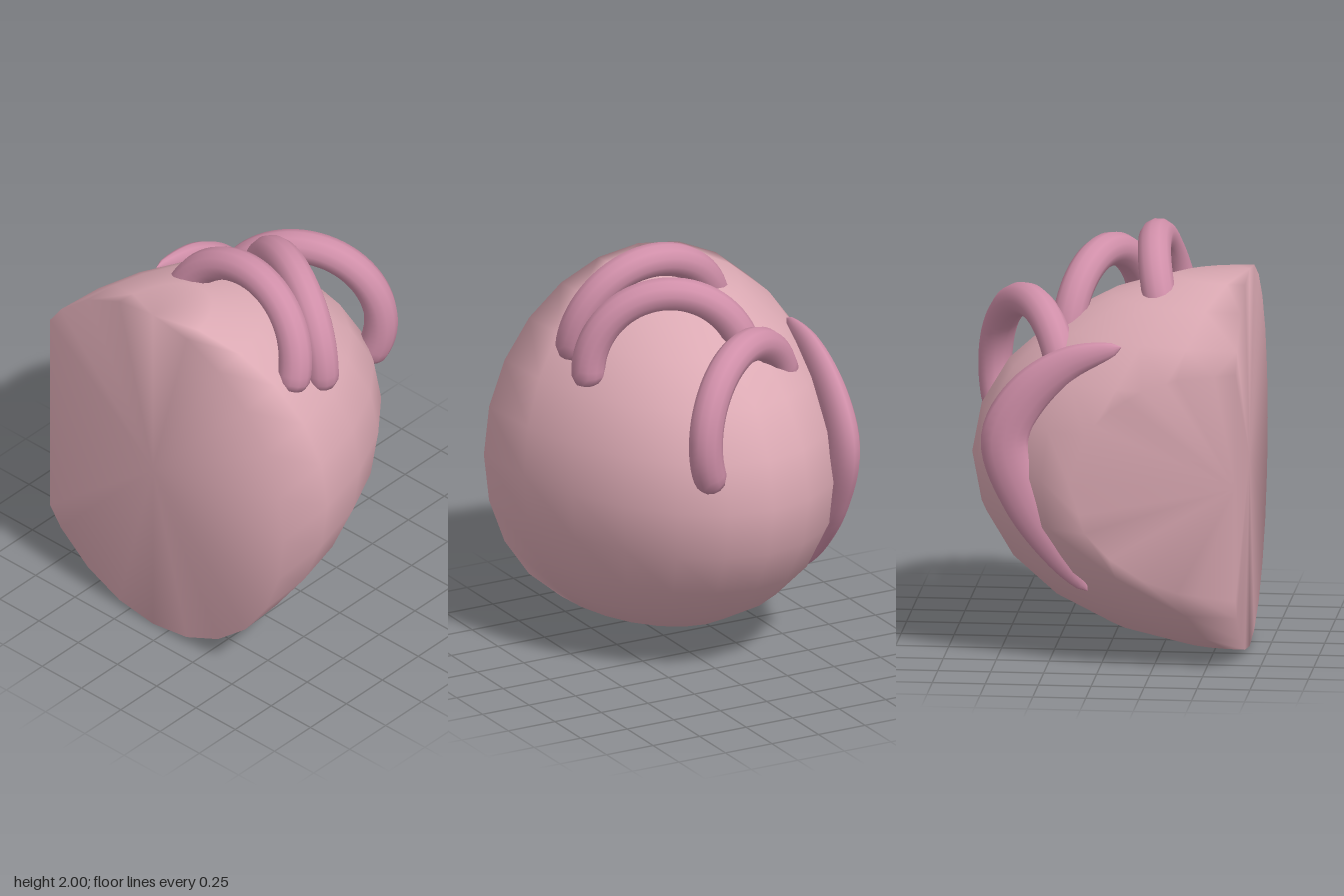
import * as THREE from 'three';
import { mergeVertices } from 'three/addons/utils/BufferGeometryUtils.js';

const lightPink = new THREE.MeshStandardMaterial({ color: 0xdcaab4 });
lightPink.name = 'lightPink';
const rosePink = new THREE.MeshStandardMaterial({ color: 0xd08fa9 });
rosePink.name = 'rosePink';

const V = (x, y, z) => new THREE.Vector3(x, y, z);

function smooth(geo) {
  geo.deleteAttribute('uv');
  geo.deleteAttribute('normal');
  const merged = mergeVertices(geo, 1e-4);
  merged.computeVertexNormals();
  return merged;
}

// Back half of an ellipsoid, sliced flat on one side and closed with flat caps
function bodyGeometry() {
  const cutX = -0.745, frontZ = 0.655;
  const half = new THREE.SphereGeometry(1, 12, 12, Math.PI, Math.PI).toNonIndexed();
  half.scale(0.83, 0.91, 1.31).translate(-0.09, 0.91, frontZ);
  const src = half.attributes.position;
  const frontCentre = V(-0.09, 0.91, frontZ), sideCentre = V(cutX, 0.91, frontZ);
  const out = [], corners = [];
  const tri = (a, b, c) => { for (const p of [a, b, c]) out.push(p.x, p.y, p.z); };
  const onFront = (p) => Math.abs(p.z - frontZ) < 1e-5;
  const onCut = (p) => Math.abs(p.x - cutX) < 1e-5;

  for (let i = 0; i < src.count; i += 3) {
    const pts = [0, 1, 2].map((k) => new THREE.Vector3().fromBufferAttribute(src, i + k));
    const poly = [];
    pts.forEach((a, k) => {
      const b = pts[(k + 1) % 3];
      if (a.x >= cutX) poly.push(a);
      if ((a.x >= cutX) !== (b.x >= cutX)) {
        // always interpolate from the kept side so shared edges agree
        const [p, q] = a.x >= cutX ? [a, b] : [b, a];
        const hit = p.clone().lerp(q, (cutX - p.x) / (q.x - p.x));
        hit.x = cutX;
        poly.push(hit);
        if (onFront(hit)) corners.push(hit);
      }
    });
    for (let k = 1; k + 1 < poly.length; k++) tri(poly[0], poly[k], poly[k + 1]);
    poly.forEach((a, k) => {
      const b = poly[(k + 1) % poly.length];
      if (a.distanceTo(b) < 1e-5) return;
      if (onFront(a) && onFront(b)) tri(b, a, frontCentre);
      else if (onCut(a) && onCut(b)) tri(b, a, sideCentre);
    });
  }
  // strip of the front cap beside the flat cut
  corners.sort((a, b) => b.y - a.y);
  tri(corners[0], corners[corners.length - 1], frontCentre);

  const geo = new THREE.BufferGeometry();
  geo.setAttribute('position', new THREE.Float32BufferAttribute(out, 3));
  return smooth(geo);
}

// Tube whose thickness follows taper(u, length), optionally flattened in x
function taperedTube(curve, radius, taper, flat = 1) {
  const segs = 40, sides = 12;
  const geo = new THREE.TubeGeometry(curve, segs, radius, sides);
  const pos = geo.attributes.position, length = curve.getLength(), v = V(0, 0, 0);
  for (let i = 0; i <= segs; i++) {
    const p = curve.getPointAt(i / segs), t = Math.max(taper(i / segs, length), 0.002);
    for (let j = 0; j <= sides; j++) {
      const n = i * (sides + 1) + j;
      v.fromBufferAttribute(pos, n).sub(p).multiplyScalar(t);
      v.x *= flat;
      v.add(p);
      pos.setXYZ(n, v.x, v.y, v.z);
    }
  }
  return smooth(geo);
}

// Half ring: centre, half-chord and rise vectors, with rounded ends
function loopGeometry(centre, chord, rise) {
  const r = 0.08, pts = [];
  for (let i = 0; i <= 16; i++) {
    const a = -0.21 + (Math.PI + 0.42) * (i / 16);
    pts.push(centre.clone().addScaledVector(chord, Math.cos(a)).addScaledVector(rise, Math.sin(a)));
  }
  const round = (u, len) => {
    const d = Math.min(1, Math.min(u, 1 - u) * len / r);
    return Math.sqrt(1 - (1 - d) ** 2);
  };
  return taperedTube(new THREE.CatmullRomCurve3(pts), r, round);
}

export function createModel() {
  const group = new THREE.Group();
  const add = (name, geo, mat) => {
    const mesh = new THREE.Mesh(geo, mat);
    mesh.name = name;
    group.add(mesh);
  };

  add('body', bodyGeometry(), lightPink);

  // three arched folds over the top
  add('frontFold', loopGeometry(V(0.09, 1.54, 0.285), V(0.38, 0, 0), V(0, 0.38, -0.09)), rosePink);
  add('middleFold', loopGeometry(V(0.14, 1.46, -0.045), V(0.345, 0, 0.15), V(0, 0.38, 0)), rosePink);
  add('backFold', loopGeometry(V(-0.09, 1.265, -0.385), V(0.29, -0.165, -0.175), V(0.141, 0.339, -0.085)), rosePink);

  // flattened crescent fold on the cut side
  const path = [[0.1, 1.54], [-0.16, 1.45], [-0.36, 1.28], [-0.45, 1.08], [-0.36, 0.8], [-0.2, 0.54], [-0.06, 0.36]];
  const crescent = new THREE.CatmullRomCurve3(path.map(([z, y]) => V(-0.577, y, z)));
  add('sideFold', taperedTube(crescent, 0.115, (u) => Math.sqrt(Math.max(0, Math.sin(Math.PI * u))), 0.6), rosePink);

  return group;
}
